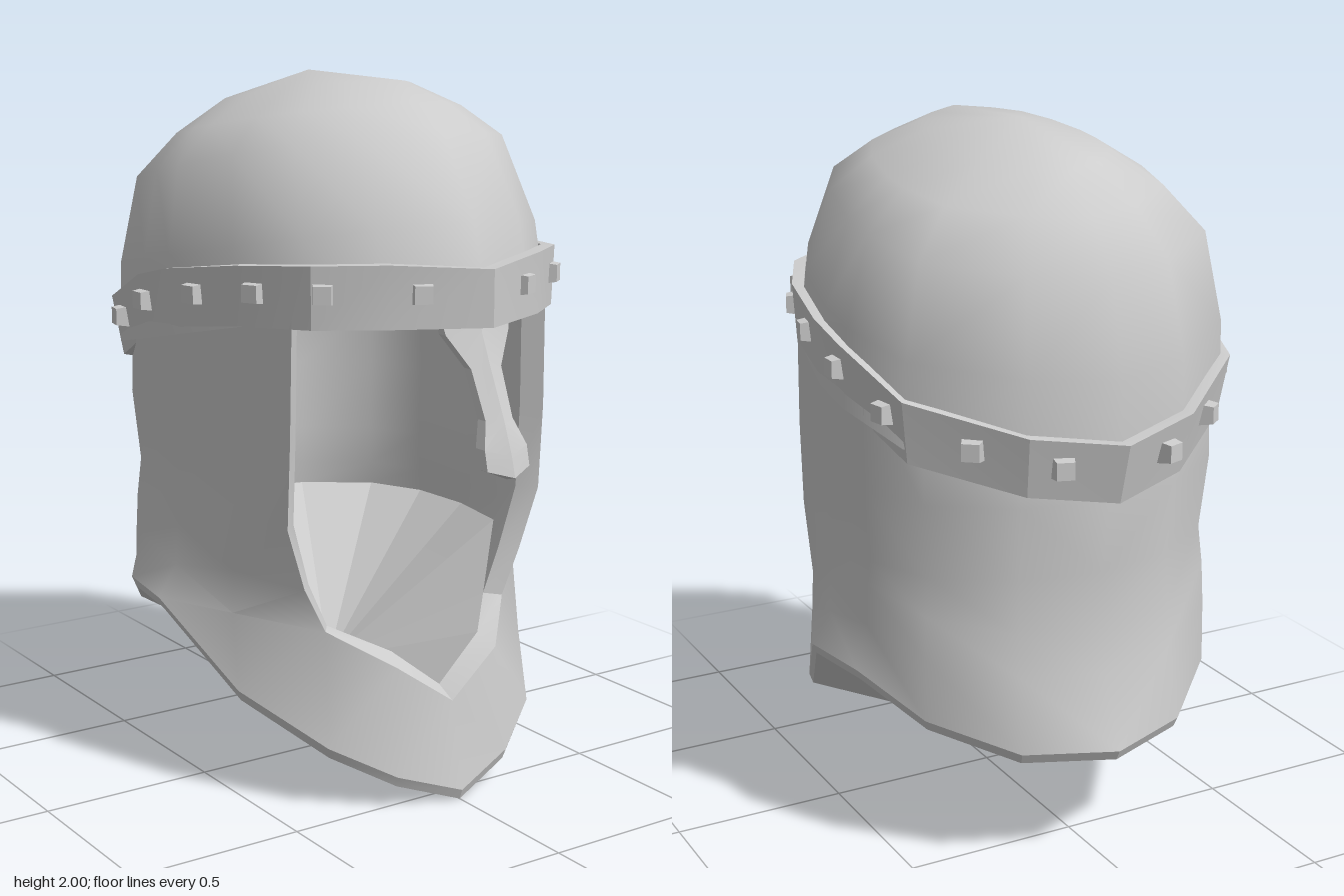
import * as THREE from 'three';
import { toCreasedNormals } from 'three/addons/utils/BufferGeometryUtils.js';

const steel = new THREE.MeshStandardMaterial({ color: 0xcccccc, side: THREE.DoubleSide });
steel.name = 'plain steel';
const lerp = THREE.MathUtils.lerp;

// Skin a grid of points, row by row; null points leave holes.
function grid(name, rows, crease = 0.9, flip = false) {
  const pos = [];
  const tri = (a, b, c) => {
    const [A, B, C] = [a, b, c].map((p) => new THREE.Vector3(...p));
    if (B.sub(A).cross(C.sub(A)).length() < 1e-7) return;
    pos.push(...a, ...(flip ? c : b), ...(flip ? b : c));
  };
  for (let r = 0; r < rows.length - 1; r++) {
    for (let j = 0; j < rows[r].length - 1; j++) {
      const a = rows[r][j], b = rows[r + 1][j], c = rows[r + 1][j + 1], d = rows[r][j + 1];
      if (!a || !b || !c || !d) continue;
      if (j < (rows[r].length - 1) / 2) { tri(a, b, d); tri(b, c, d); }
      else { tri(a, b, c); tri(a, c, d); }
    }
  }
  const geo = new THREE.BufferGeometry();
  geo.setAttribute('position', new THREE.Float32BufferAttribute(pos, 3));
  geo.computeVertexNormals();
  const mesh = new THREE.Mesh(toCreasedNormals(geo, crease), steel);
  mesh.name = name;
  return mesh;
}

// Front-to-back half row -> full row running back, right, front, left, back.
const mirror = (half) => [
  ...half.slice(1).reverse().map((p) => p && [-p[0], p[1], p[2]]),
  ...half,
];

// Brow band plan, front to back: x, z, top y, bottom y
const RING = [
  [0, 0.69, 1.515, 1.36], [0.25, 0.57, 1.53, 1.36], [0.41, 0.44, 1.525, 1.355],
  [0.51, 0.22, 1.51, 1.345], [0.565, -0.06, 1.475, 1.31], [0.565, -0.22, 1.44, 1.27],
  [0.51, -0.49, 1.34, 1.165], [0.25, -0.7, 1.26, 1.09], [0, -0.785, 1.23, 1.06],
];

function dome() {
  // half width, front z, back z, front y, back y
  const levels = [
    [0.55, 0.65, -0.745, 1.43, 1.15], [0.54, 0.6, -0.74, 1.63, 1.39],
    [0.485, 0.46, -0.68, 1.86, 1.65], [0.37, 0.34, -0.58, 1.93, 1.79],
    [0.22, 0.2, -0.48, 1.985, 1.9], [0, -0.2, -0.2, 2, 2],
  ];
  return grid('dome', levels.map(([w, zf, zb, yf, yb]) => mirror(RING.map(([x, z]) => {
    const t = (z + 0.785) / 1.475;
    return [x * w / 0.565, lerp(yb, yf, t), lerp(zb, zf, t)];
  }))), 1.2, true);
}

function band() {
  const row = (top, inset) => mirror(RING.map(([x, z, yt, yb]) => {
    const s = (top ? 1 : 1 - 0.06 * (0.69 - z) / 1.475) - inset;
    return [x * s, top ? yt : yb, (z + 0.05) * s - 0.05];
  }));
  const rows = [row(true, 0), row(false, 0), row(false, 0.06), row(true, 0.06), row(true, 0)];
  return grid('browBand', rows, 0.3);
}

function studs() {
  const group = new THREE.Group();
  group.name = 'bandStuds';
  const geo = new THREE.CylinderGeometry(0.034, 0.044, 0.05, 4).rotateY(Math.PI / 4)
    .rotateX(Math.PI / 2).toNonIndexed();
  geo.computeVertexNormals();
  for (const t of [0.68, 1.85, 2.75, 3.6, 4.85, 5.7, 6.55, 7.35]) {
    const i = Math.floor(t), a = RING[i], b = RING[i + 1];
    const [x, z, yt, yb] = a.map((v, k) => lerp(v, b[k], t - i));
    for (const s of [1, -1]) {
      const stud = new THREE.Mesh(geo, steel);
      stud.name = 'stud';
      stud.position.set(s * x * 0.99, (yt + yb) / 2 + 0.01, z * 0.99);
      stud.rotation.y = Math.atan2(s * (a[1] - b[1]), b[0] - a[0]);
      group.add(stud);
    }
  }
  return group;
}

function nasal() {
  // y, half width, ridge z, back z
  const parts = [
    [1.42, 0.12, 0.62, 0.57], [1.34, 0.105, 0.64, 0.59], [1.25, 0.05, 0.68, 0.63],
    [1.12, 0.045, 0.74, 0.685], [1.03, 0.07, 0.775, 0.71], [0.975, 0.07, 0.79, 0.72],
  ];
  const rows = parts.map(([y, w, f, b], i) => {
    const e = i > 3 ? 0.02 : 0;
    return [[0, y, b], [-w, y + e, b], [-w, y + e, lerp(b, f, 0.6)], [0, y, f],
      [w, y + e, lerp(b, f, 0.6)], [w, y + e, b], [0, y, b]];
  });
  rows.push(rows[5].map(() => [0, 0.965, 0.755]));
  return grid('noseGuard', rows, 0.3);
}

// Neck curtain with a face opening, flared rim and closed floor
function curtain() {
  const group = new THREE.Group();
  group.name = 'neckCurtain';
  const rim = [
    [0, 0.03, 0.58], [0.19, 0.095, 0.535], [0.35, 0.18, 0.43], [0.5, 0.31, 0.2],
    [0.6, 0.53, -0.07], [0.565, 0.53, -0.3], [0.45, 0.43, -0.49], [0.25, 0.36, -0.67],
    [0, 0.355, -0.765],
  ];
  const edge = [[0.43, 1.42, 0.38], [0.435, 1.05, 0.375], [0.435, 0.8, 0.36], [0.375, 0.62, 0.35]];
  const chin = [[0, 0.28, 0.53], [0.17, 0.4, 0.505], [0.31, 0.49, 0.355]];
  const wall = [[0.5, 0.17], [0.545, -0.07], [0.535, -0.3], [0.45, -0.49], [0.24, -0.635], [0, -0.685]];
  const topY = [1.41, 1.38, 1.34, 1.24, 1.16, 1.13];
  const hemY = [0.53, 0.62, 0.66, 0.61, 0.57, 0.55];
  const scale = [0.99, 1, 0.965, 0.985, 0.995];
  const rows = scale.map((s, r) => {
    const front = r < 4 ? [null, null, edge[r]] : chin;
    return [...front, ...wall.map(([x, z], k) => {
      const y = [topY[k], 1.05, 0.84, hemY[k] + 0.12, hemY[k]][r];
      return [x * s, y, z * s];
    })];
  });

  // Inner wall: the same columns drawn inwards
  const inner = rows.map((row, r) => row.map((p, j) => {
    if (!p) return null;
    const y = r === 4 && j > 2 ? 0.65 : r === 3 && j > 2 ? 0.72 : p[1];
    return [p[0] * 0.89, y + (r === 4 && j < 2 ? 0.03 : 0), (p[2] + 0.1) * 0.9 - 0.1];
  }));
  const outerFull = rows.map(mirror), innerFull = inner.map(mirror);
  group.add(grid('outerWall', [...outerFull, mirror(rim)], 0.75));
  group.add(grid('innerWall', innerFull, 0.75, true));

  // Bevel running round the face opening
  const outline = (m) => {
    const side = m.slice(0, 4).map((row) => row[2]);
    const half = [...m[4].slice(0, 3), ...side.reverse()];
    return mirror(half);
  };
  group.add(grid('openingEdge', [outline(inner), outline(rows)], 0.5));

  // Hem below the flare, then fans that close it below and inside
  const hem = rim.map(([x, y, z]) => [x * 0.98, y - 0.03, z * 0.98]);
  group.add(grid('hem', [rim, hem].map(mirror), 0.4));
  const fan = (name, row, apex, flip) =>
    grid(name, [row, row.map(() => apex)], 0.05, flip);
  group.add(fan('underside', mirror(hem), [0, 0.14, -0.1], false));
  group.add(fan('innerFloor', innerFull[4], [0, 0.22, -0.1], true));
  return group;
}

export function createModel() {
  const helmet = new THREE.Group();
  helmet.name = 'helmet';
  helmet.add(dome(), band(), studs(), nasal(), curtain());
  return helmet;
}
